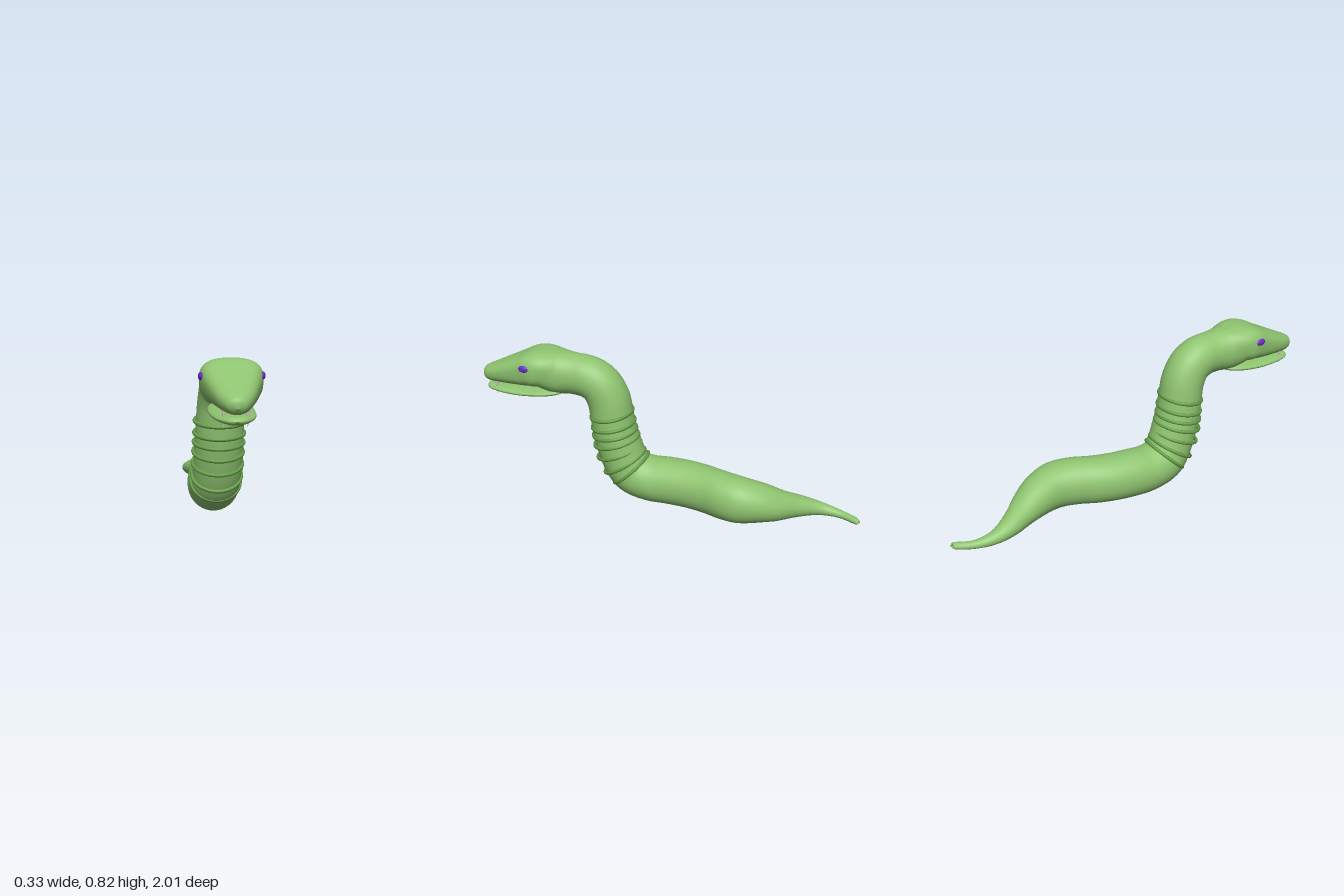
import * as THREE from 'three';

const material = (name, color, extra = {}) => {
  const m = new THREE.MeshStandardMaterial({ color, ...extra });
  m.name = name;
  return m;
};

// Smooth skin over cross-sections [x, y, z, halfWidth, halfHeight, squareness].
// Each section spans the x axis and stands square to the spine in side view.
function loft(rows, steps, sides) {
  const path = new THREE.CatmullRomCurve3(rows.map(r => new THREE.Vector3(r[0], r[1], r[2])), false, 'catmullrom');
  const size = new THREE.CatmullRomCurve3(rows.map(r => new THREE.Vector3(r[3], r[4], r[5] ?? 2)), false, 'catmullrom');
  const positions = [], index = [];
  for (let i = 0; i <= steps; i++) {
    const t = i / steps;
    const p = path.getPoint(t), s = size.getPoint(t), d = path.getTangent(t);
    const len = Math.hypot(d.y, d.z) || 1;
    const upY = d.z / len, upZ = -d.y / len;
    const w = Math.max(s.x, 0.0004), h = Math.max(s.y, 0.0004), e = 2 / s.z;
    for (let j = 0; j < sides; j++) {
      const a = (j / sides) * Math.PI * 2, c = Math.cos(a), n = Math.sin(a);
      const u = Math.sign(c) * Math.abs(c) ** e * w;
      const v = Math.sign(n) * Math.abs(n) ** e * h;
      positions.push(p.x + u, Math.max(0, p.y + upY * v), p.z + upZ * v);
      if (i < steps) {
        const k = (j + 1) % sides, A = i * sides, B = A + sides;
        index.push(A + j, A + k, B + k, A + j, B + k, B + j);
      }
    }
  }
  const g = new THREE.BufferGeometry();
  g.setAttribute('position', new THREE.Float32BufferAttribute(positions, 3));
  g.setIndex(index);
  g.computeVertexNormals();
  return g;
}

export function createModel() {
  const group = new THREE.Group();
  const skin = material('skin green', 0x8fc470);
  const band = material('band green', 0x629c45);
  const purple = material('eye purple', 0x6a2cc8);
  const ivory = material('fang ivory', 0xdcc8c8);

  const add = (name, geometry, mat) => {
    const mesh = new THREE.Mesh(geometry, mat);
    mesh.name = name;
    group.add(mesh);
    return mesh;
  };

  // Tail, winding belly, raised neck and upper head in one skin
  const tail = [
    [-0.063, 0.02, -1.0, 0, 0],
    [-0.067, 0.02, -0.99, 0.022, 0.016],
    [-0.11, 0.024, -0.9, 0.024, 0.021],
    [-0.117, 0.036, -0.8, 0.038, 0.034],
    [-0.078, 0.056, -0.7, 0.067, 0.054],
    [-0.013, 0.08, -0.6, 0.097, 0.078],
    [0.03, 0.106, -0.5, 0.112, 0.105],
    [0.05, 0.121, -0.4, 0.116, 0.12, 2.1],
  ];
  const belly = [
    [0.03, 0.126, -0.3, 0.121, 0.124, 2.1],
    [-0.008, 0.126, -0.2, 0.122, 0.124, 2.1],
    [-0.032, 0.126, -0.1, 0.122, 0.124, 2.1],
    [-0.042, 0.126, 0, 0.122, 0.124, 2.1],
    [-0.042, 0.127, 0.1, 0.122, 0.124],
  ];
  const neck = [
    [-0.037, 0.155, 0.19, 0.121, 0.122],
    [-0.031, 0.22, 0.236, 0.12, 0.12],
    [-0.027, 0.32, 0.27, 0.12, 0.118],
    [-0.024, 0.41, 0.292, 0.118, 0.115],
    [-0.022, 0.5, 0.305, 0.115, 0.113],
    [-0.02, 0.58, 0.32, 0.112, 0.112],
    [-0.016, 0.65, 0.358, 0.109, 0.11],
    [-0.013, 0.688, 0.42, 0.105, 0.11],
  ];
  const head = [
    [-0.01, 0.7, 0.5, 0.1, 0.108, 2.1],
    [-0.008, 0.707, 0.58, 0.117, 0.112, 2.3],
    [-0.005, 0.728, 0.65, 0.138, 0.097, 2.7],
    [-0.005, 0.725, 0.7, 0.139, 0.092, 3],
    [-0.006, 0.709, 0.76, 0.125, 0.081, 2.9],
    [-0.007, 0.689, 0.84, 0.103, 0.067, 2.6],
    [-0.008, 0.672, 0.91, 0.08, 0.053, 2.4],
    [-0.008, 0.66, 0.96, 0.058, 0.044, 2.2],
    [-0.008, 0.652, 0.987, 0.037, 0.031],
    [-0.008, 0.648, 1.0, 0, 0],
  ];
  add('body', loft([...tail, ...belly, ...neck, ...head], 180, 40), skin);

  // Thin lower jaw hinged at the throat
  add('lowerJaw', loft([
    [-0.006, 0.612, 0.54, 0, 0],
    [-0.006, 0.61, 0.56, 0.07, 0.016],
    [-0.006, 0.602, 0.64, 0.1, 0.024],
    [-0.006, 0.594, 0.75, 0.102, 0.025],
    [-0.006, 0.592, 0.85, 0.09, 0.023],
    [-0.007, 0.591, 0.92, 0.068, 0.02],
    [-0.008, 0.592, 0.965, 0.042, 0.016],
    [-0.008, 0.593, 0.985, 0, 0],
  ], 48, 32), skin);

  // Neck bands: front z, front y, back z, back y of each
  [
    [0.42, 0.475, 0.188, 0.515],
    [0.415, 0.415, 0.178, 0.455],
    [0.412, 0.368, 0.17, 0.41],
    [0.408, 0.31, 0.16, 0.372],
    [0.392, 0.238, 0.148, 0.325],
    [0.355, 0.15, 0.13, 0.287],
    [0.303, 0.09, 0.112, 0.267],
  ].forEach(([zf, yf, zb, yb], i) => {
    const ring = add('neckBand' + (i + 1), new THREE.TorusGeometry(0.121, 0.009, 10, 48), band);
    ring.position.set(-0.023 - i * 0.002, (yf + yb) / 2, (zf + zb) / 2);
    ring.rotation.x = Math.atan2(zf - zb, yf - yb);
    ring.scale.y = Math.hypot(zf - zb, yf - yb) / 2 / 0.13;
  });

  // Eyes and fangs, mirrored about the middle of the head
  for (const s of [-1, 1]) {
    const side = s > 0 ? 'left' : 'right';
    const eye = add(side + 'Eye', new THREE.SphereGeometry(1, 20, 14), purple);
    eye.scale.set(0.011, 0.018, 0.028);
    eye.position.set(-0.005 + s * 0.134, 0.752, 0.718);
    eye.rotation.y = -s * 0.2;

    const fang = add(side + 'Fang', new THREE.ConeGeometry(0.009, 0.08, 12), ivory);
    fang.position.set(-0.008 + s * 0.05, 0.596, 0.912);
    fang.rotation.x = Math.PI;
  }
  return group;
}
